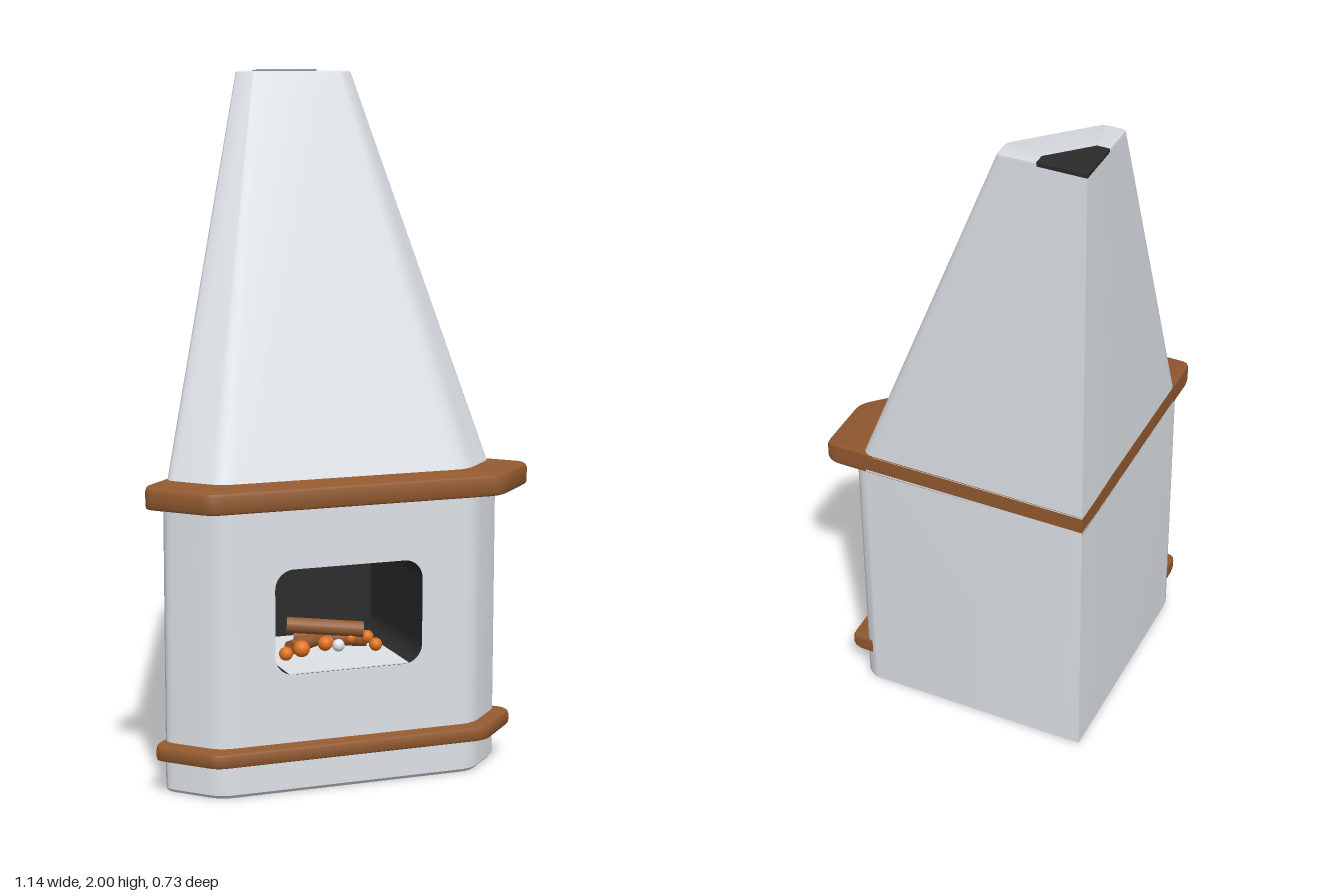
import * as THREE from 'three';
import { toCreasedNormals } from 'three/addons/utils/BufferGeometryUtils.js';

const BACK = -0.365; // z of the corner the fireplace stands in

const material = (name, color) => {
  const m = new THREE.MeshStandardMaterial({ color });
  m.name = name;
  return m;
};

// Corner-shaped plan of depth 1: sharp back corner at the origin, rounded side and front corners
function makePlan(cut) {
  const pts = [new THREE.Vector2(0, 0)];
  const v = (x, z) => new THREE.Vector2(x, z);
  const corners = [v(0, 0), v(0.793, 0.793), v(0.59, 1), v(-0.59, 1), v(-0.793, 0.793), v(0, 0)];
  for (let i = 1; i < 5; i++) {
    const c = corners[i];
    const toward = (p) => c.clone().add(p.clone().sub(c).setLength(cut));
    pts.push(...new THREE.QuadraticBezierCurve(toward(corners[i - 1]), c, toward(corners[i + 1])).getPoints(5));
  }
  return pts;
}

// Loft of the plan through rings [depth, y]; scaling about the back corner keeps the wall sides flush
function loft(rings, { cut = 0.05, openFront = false, back = BACK } = {}) {
  const plan = makePlan(cut);
  const n = plan.length;
  const pos = [];
  const at = (r, i) => [plan[i % n].x * r[0], r[1], back + plan[i % n].y * r[0]];
  const tri = (a, b, c) => pos.push(...a, ...b, ...c);
  for (let k = 0; k < rings.length - 1; k++) {
    const lo = rings[k], hi = rings[k + 1];
    for (let i = 0; i < n; i++) {
      if (openFront && i === 12 && k === 1) continue; // gap for the front panel
      tri(at(lo, i + 1), at(lo, i), at(hi, i));
      tri(at(lo, i + 1), at(hi, i), at(hi, i + 1));
    }
  }
  const first = rings[0], last = rings[rings.length - 1];
  for (let i = 1; i < n - 1; i++) {
    tri(at(last, 0), at(last, i + 1), at(last, i));
    tri(at(first, 0), at(first, i), at(first, i + 1));
  }
  const g = new THREE.BufferGeometry();
  g.setAttribute('position', new THREE.Float32BufferAttribute(pos, 3));
  return toCreasedNormals(g, 0.6);
}

// Slab with softened edges
const slab = (d, y0, y1, b, opts) =>
  loft([[d - b, y0], [d - b * 0.3, y0 + b * 0.3], [d, y0 + b], [d, y1 - b], [d - b * 0.3, y1 - b * 0.3], [d - b, y1]], opts);

// Rounded rectangle outline, used for the fire opening
function roundedRect(Type, x, y0, y1, r) {
  const s = new Type();
  s.moveTo(-x + r, y0);
  s.lineTo(x - r, y0);
  s.absarc(x - r, y0 + r, r, -Math.PI / 2, 0);
  s.absarc(x - r, y1 - r, r, 0, Math.PI / 2);
  s.absarc(-x + r, y1 - r, r, Math.PI / 2, Math.PI);
  s.absarc(-x + r, y0 + r, r, Math.PI, Math.PI * 1.5);
  return s;
}

export function createModel() {
  const plaster = material('plaster', 0xdfe3e8);
  const wood = material('wood', 0x92592f);
  const soot = material('soot', 0x2b2b2b);
  const ember = material('ember', 0xe0701c);

  const model = new THREE.Group();
  model.name = 'cornerFireplace';
  const add = (name, geometry, mat, parent = model) => {
    const mesh = new THREE.Mesh(geometry, mat);
    mesh.name = name;
    parent.add(mesh);
    return mesh;
  };

  // Plastered base, open at the front, and its front panel with the fire opening
  const bodyDepth = 0.646;
  add('body', loft([[0.638, 0], [bodyDepth, 0.01], [bodyDepth, 0.83]], { cut: 0.06, openFront: true }), plaster);
  const halfFront = (0.59 - 0.06) * bodyDepth;
  const panel = new THREE.Shape([
    new THREE.Vector2(-halfFront, 0.01), new THREE.Vector2(halfFront, 0.01),
    new THREE.Vector2(halfFront, 0.83), new THREE.Vector2(-halfFront, 0.83),
  ]);
  panel.holes.push(roundedRect(THREE.Path, 0.22, 0.34, 0.64, 0.055));
  const frontZ = BACK + bodyDepth;
  add('frontPanel', new THREE.ShapeGeometry(panel), plaster).position.z = frontZ;

  // Sooty firebox: sleeve, back wall and pale hearth floor
  const firebox = new THREE.Group();
  firebox.name = 'firebox';
  model.add(firebox);
  const sleeve = roundedRect(THREE.Shape, 0.23, 0.33, 0.65, 0.06);
  sleeve.holes.push(roundedRect(THREE.Path, 0.22, 0.34, 0.64, 0.055));
  const sleeveDepth = frontZ + 0.12;
  add('fireboxWalls', new THREE.ExtrudeGeometry(sleeve, { depth: sleeveDepth - 0.001, bevelEnabled: false }), soot, firebox).position.z = -0.12;
  add('fireboxBack', new THREE.ShapeGeometry(roundedRect(THREE.Shape, 0.225, 0.335, 0.645, 0.055)), soot, firebox).position.z = -0.118;
  add('hearthFloor', new THREE.BoxGeometry(0.36, 0.004, sleeveDepth - 0.004), plaster, firebox)
    .position.set(0, 0.341, (frontZ - 0.12) / 2);

  // Wooden trim and mantel shelf
  add('lowerTrim', slab(0.688, 0.1, 0.145, 0.012, { cut: 0.04, back: BACK + 0.002 }), wood);
  add('mantel', slab(0.73, 0.822, 0.885, 0.012, { cut: 0.04 }), wood);

  // Tapering hood and flue outlet
  add('hood', loft([[0.624, 0.88], [0.23, 1.985], [0.226, 1.995], [0.219, 1.998]], { cut: 0.06 }), plaster);
  add('flueOutlet', loft([[0.127, 1.99], [0.127, 2]], { cut: 0.03, back: BACK - 0.001 }), soot);

  // Logs, each from end to end
  const fire = new THREE.Group();
  fire.name = 'fire';
  model.add(fire);
  const up = new THREE.Vector3(0, 1, 0);
  const logs = [
    [[-0.11, 0.425, 0.06], [0.1, 0.41, 0.13], 0.023],
    [[-0.12, 0.372, 0.12], [0.08, 0.372, -0.02], 0.021],
    [[-0.06, 0.368, -0.01], [0.12, 0.372, 0.1], 0.021],
  ];
  for (const [a, b, r] of logs) {
    const from = new THREE.Vector3(...a), dir = new THREE.Vector3(...b).sub(from);
    const log = add('log', new THREE.CylinderGeometry(r, r, dir.length(), 16), wood, fire);
    log.position.copy(from).addScaledVector(dir, 0.5);
    log.quaternion.setFromUnitVectors(up, dir.clone().normalize());
  }

  // Glowing embers and one pale lump of ash
  const embers = [
    [-0.14, 0.362, 0.14, 0.02], [-0.1, 0.378, 0.16, 0.024], [-0.025, 0.384, 0.15, 0.021],
    [0.065, 0.385, 0.12, 0.016], [0.115, 0.385, 0.12, 0.019], [0.13, 0.368, 0.15, 0.019],
    [-0.06, 0.365, 0.06, 0.02], [0.03, 0.365, 0.05, 0.02],
  ];
  for (const [x, y, z, r] of embers) {
    add('ember', new THREE.SphereGeometry(r, 16, 12), ember, fire).position.set(x, y, z);
  }
  add('ashLump', new THREE.SphereGeometry(0.018, 16, 12), plaster, fire).position.set(0.012, 0.378, 0.16);

  return model;
}
